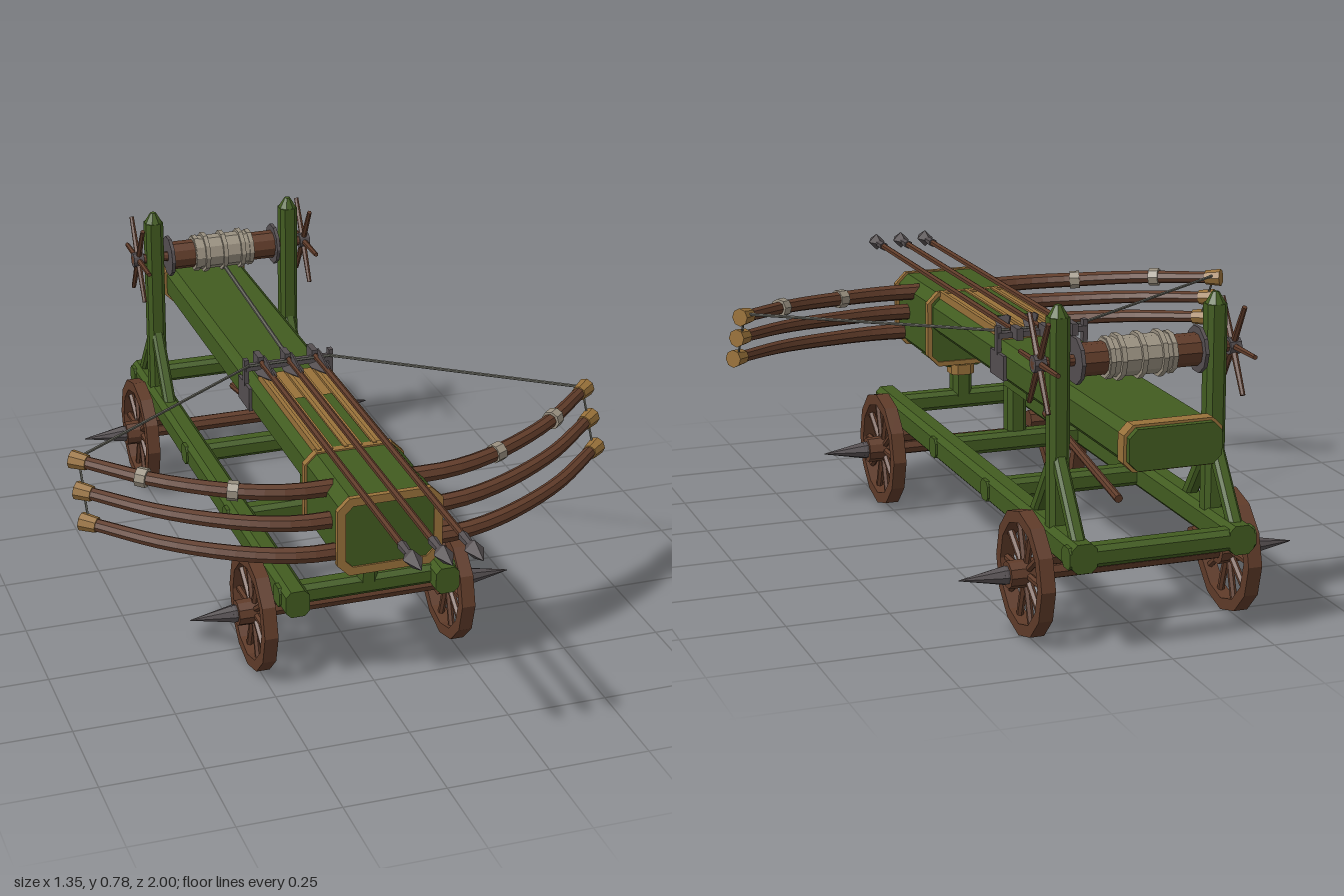
import * as THREE from 'three';

const V = (x, y, z) => new THREE.Vector3(x, y, z);
const mat = (name, color) => {
  const m = new THREE.MeshStandardMaterial({ color, flatShading: true });
  m.name = name;
  return m;
};

export function createModel() {
  const green = mat('greenPaint', 0x425c20), brown = mat('brownWood', 0x5f3b29);
  const tan = mat('ochreTrim', 0x98713a), iron = mat('darkIron', 0x544e50);
  const rope = mat('paleRope', 0x999080), cord = mat('cord', 0x65655c);
  const root = new THREE.Group();
  root.name = 'ballista';

  const add = (name, geo, m, x = 0, y = 0, z = 0, parent = root) => {
    const mesh = new THREE.Mesh(geo, m);
    mesh.name = name;
    mesh.position.set(x, y, z);
    parent.add(mesh);
    return mesh;
  };
  const box = (name, m, w, h, d, x, y, z, parent) => add(name, new THREE.BoxGeometry(w, h, d), m, x, y, z, parent);
  // Round bar between two points, r0 at a and r1 at b
  const rod = (name, m, a, b, r0, r1 = r0, n = 8, parent = root) => {
    const d = b.clone().sub(a);
    const mesh = add(name, new THREE.CylinderGeometry(r1, r0, d.length(), n), m, 0, 0, 0, parent);
    mesh.position.copy(a).addScaledVector(d, 0.5);
    mesh.quaternion.setFromUnitVectors(V(0, 1, 0), d.normalize());
    return mesh;
  };
  const octagon = (w, h, c, Type = THREE.Shape) => {
    const x = w / 2, y = h / 2;
    return new Type([[x - c, -y], [x, c - y], [x, y - c], [x - c, y], [c - x, y], [-x, y - c], [-x, c - y], [c - x, -y]]
      .map(p => new THREE.Vector2(...p)));
  };
  const extrude = (shape, depth) => new THREE.ExtrudeGeometry(shape, { depth, bevelEnabled: false }).translate(0, 0, -depth / 2);
  // Timber with chamfered edges between two points
  const timber = (name, m, a, b, w, h = w, c = w * 0.22) => {
    const mesh = add(name, extrude(octagon(w, h, c), a.distanceTo(b)), m);
    mesh.position.copy(a).add(b).multiplyScalar(0.5);
    mesh.lookAt(b);
    return mesh;
  };
  const band = (name, m, w, h, c, t, depth, x, y, z) => {
    const s = octagon(w, h, c);
    s.holes.push(octagon(w - 2 * t, h - 2 * t, c * 0.6, THREE.Path));
    return add(name, extrude(s, depth), m, x, y, z);
  };

  // Undercarriage
  for (const s of [-1, 1]) timber('sideRail', green, V(s * 0.19, 0.24, -0.945), V(s * 0.19, 0.24, 0.49), 0.06, 0.068);
  for (const z of [0.43, 0, -0.386, -0.92])
    timber('crossBeam', green, V(-0.225, 0.24, z), V(0.225, 0.24, z), 0.05);

  // Wheels and axles
  const ringShape = (r, Type) => new Type(Array.from({ length: 12 }, (_, i) =>
    new THREE.Vector2(r * Math.cos(i * Math.PI / 6), r * Math.sin(i * Math.PI / 6))));
  const rimShape = ringShape(0.148, THREE.Shape);
  rimShape.holes.push(ringShape(0.12, THREE.Path));
  const rimGeo = extrude(rimShape, 0.034).rotateY(Math.PI / 2);
  for (const z of [0.33, -0.74]) {
    rod('axle', brown, V(-0.25, 0.15, z), V(0.25, 0.15, z), 0.021);
    for (const s of [-1, 1]) {
      rod('axleBlock', brown, V(s * 0.157, 0.188, z), V(s * 0.223, 0.188, z), 0.026);
      const wheel = new THREE.Group();
      wheel.name = 'wheel';
      wheel.position.set(s * 0.252, 0.15, z);
      root.add(wheel);
      add('rim', rimGeo, brown, 0, 0, 0, wheel);
      for (let i = 0; i < 10; i++) {
        const a = i * Math.PI / 5, y = Math.sin(a), k = Math.cos(a);
        rod('spoke', brown, V(0, y * 0.02, k * 0.02), V(0, y * 0.126, k * 0.126), 0.0085, 0.0085, 6, wheel);
      }
      rod('hub', brown, V(-s * 0.03, 0, 0), V(s * 0.044, 0, 0), 0.034, 0.032, 10, wheel);
      rod('hubCollar', iron, V(s * 0.044, 0, 0), V(s * 0.056, 0, 0), 0.022, 0.022, 8, wheel);
      rod('hubSpike', iron, V(s * 0.05, 0, 0), V(s * 0.16, 0, 0), 0.023, 0.001, 8, wheel);
    }
  }

  // Posts carrying the stock
  timber('frontPost', green, V(0, 0.25, 0.43), V(0, 0.34, 0.43), 0.052);
  timber('frontPostCollar', tan, V(0, 0.31, 0.43), V(0, 0.337, 0.43), 0.064);
  const wedge = add('headWedge', new THREE.CylinderGeometry(0.141, 0.06, 0.035, 4).rotateY(Math.PI / 4), green, 0, 0.348, 0.43);
  wedge.scale.z = 0.35;
  timber('middlePost', green, V(0, 0.25, 0.01), V(0, 0.46, 0.01), 0.05);
  timber('middlePostCollar', tan, V(0, 0.396, 0.01), V(0, 0.42, 0.01), 0.062);

  // Stock and bow head
  timber('stock', green, V(0, 0.493, -1), V(0, 0.493, 0.35), 0.22, 0.095, 0.02);
  band('rearBand', tan, 0.234, 0.107, 0.022, 0.012, 0.034, 0, 0.493, -0.967);
  add('bowHead', extrude(octagon(0.24, 0.19, 0.025), 0.265), green, 0, 0.46, 0.4625);
  band('frontTrim', tan, 0.26, 0.2, 0.03, 0.021, 0.014, 0, 0.459, 0.593);
  band('headBand', tan, 0.252, 0.2, 0.03, 0.012, 0.02, 0, 0.459, 0.335);

  // Bolt troughs on top of the stock
  box('troughBed', tan, 0.18, 0.014, 0.48, 0, 0.547, 0.095);
  for (const x of [-0.036, 0.036]) box('troughDivider', green, 0.024, 0.012, 0.3, x, 0.552, 0.18);
  for (const x of [-0.086, -0.055, -0.018, 0.018, 0.055, 0.086]) box('troughRail', tan, 0.01, 0.02, 0.48, x, 0.551, 0.095);

  // Bolts
  for (const x of [-0.072, 0, 0.072]) {
    const bolt = new THREE.Group();
    bolt.name = 'bolt';
    bolt.position.set(x, 0.572, 0);
    root.add(bolt);
    rod('shaft', brown, V(0, 0, -0.17), V(0, 0, 0.9), 0.0085, 0.0085, 6, bolt);
    rod('socket', iron, V(0, 0, 0.87), V(0, 0, 0.92), 0.012, 0.009, 6, bolt);
    rod('headBase', iron, V(0, 0, 0.91), V(0, 0, 0.94), 0.008, 0.023, 4, bolt);
    rod('headPoint', iron, V(0, 0, 0.94), V(0, 0, 0.995), 0.023, 0.001, 4, bolt);
    // Three swept vanes
    const vane = new THREE.Shape([[0, -0.04], [0.028, -0.13], [0.028, -0.155], [0, -0.14]].map(p => new THREE.Vector2(...p)));
    for (let i = 0; i < 3; i++) {
      const f = add('vane', extrude(vane, 0.004).rotateX(Math.PI / 2), iron, 0, 0, 0, bolt);
      f.rotation.z = Math.PI / 2 + i * Math.PI * 2 / 3;
    }
  }

  // Three stacked bow arms on each side
  for (const s of [-1, 1]) {
    const tips = [];
    for (let k = 0; k < 3; k++) {
      const y = 0.53 - k * 0.063, z = k * 0.04;
      const path = new THREE.CatmullRomCurve3([[0.08, 0, 0.475], [0.2, 0.002, 0.472], [0.32, 0.007, 0.438],
        [0.49, 0.02, 0.35], [0.645, 0.034, 0.22]].map(p => V(s * p[0], y + p[1], p[2] + z)));
      const geo = new THREE.TubeGeometry(path, 14, 0.022, 8);
      const pos = geo.attributes.position, p = V(), c = V();
      for (let i = 0; i < pos.count; i++) { // taper towards the tip
        const t = Math.floor(i / 9) / 14;
        path.getPointAt(t, c);
        p.fromBufferAttribute(pos, i).sub(c).multiplyScalar(1 - 0.3 * t).add(c);
        pos.setXYZ(i, p.x, p.y, p.z);
      }
      add('bowArm', geo, brown);
      const end = path.getPointAt(1), dir = path.getTangentAt(1);
      rod('bowTip', tan, end.clone().addScaledVector(dir, -0.022), end.clone().addScaledVector(dir, 0.02), 0.019, 0.023);
      tips.push(end);
      if (k === 0) for (const t of [0.4, 0.74]) {
        const q = path.getPointAt(t), d = path.getTangentAt(t).multiplyScalar(0.013);
        rod('bowBinding', rope, q.clone().sub(d), q.clone().add(d), 0.024);
      }
    }
    rod('tipCord', cord, tips[0], tips[1], 0.003, 0.003, 5);
    rod('tipCord', cord, tips[1], tips[2], 0.003, 0.003, 5);
    rod('bowstring', cord, V(s * 0.65, 0.571, 0.22), V(s * 0.11, 0.571, -0.165), 0.004, 0.004, 6);
    box('triggerPlate', iron, 0.01, 0.062, 0.095, s * 0.113, 0.49, -0.182);
    box('triggerUpright', iron, 0.012, 0.07, 0.018, s * 0.113, 0.55, -0.178);
  }
  rod('bowstringMiddle', cord, V(-0.11, 0.571, -0.165), V(0.11, 0.571, -0.165), 0.004, 0.004, 6);

  // Trigger catch and lever
  box('catchBar', iron, 0.23, 0.014, 0.022, 0, 0.562, -0.178);
  for (const x of [-0.072, 0, 0.072]) box('catchClaw', iron, 0.016, 0.03, 0.045, x, 0.57, -0.2);
  box('triggerBase', green, 0.14, 0.034, 0.16, 0, 0.43, -0.18);
  rod('triggerArm', iron, V(0, 0.43, -0.215), V(0, 0.355, -0.22), 0.009);
  rod('triggerLever', brown, V(0, 0.363, -0.21), V(0, 0.28, -0.68), 0.0105);

  // Winch frame with braces
  const wz = -0.777, wy = 0.647;
  for (const s of [-1, 1]) {
    const x = s * 0.19;
    timber('winchPost', green, V(x, 0.25, wz), V(x, 0.75, wz), 0.048);
    add('postPoint', new THREE.CylinderGeometry(0.008, 0.025, 0.028, 8).rotateY(Math.PI / 8), green, x, 0.763, wz);
    for (const z of [-0.65, -0.905]) timber('winchBrace', green, V(x, 0.262, z), V(x, 0.44, wz), 0.032);
  }

  // Winch drum, rope and handles
  const along = (name, m, x0, x1, r, n = 10) => rod(name, m, V(x0, wy, wz), V(x1, wy, wz), r, r, n);
  along('winchAxle', brown, -0.25, 0.25, 0.013);
  along('winchDrum', brown, -0.15, 0.15, 0.038);
  along('ropeWrap', rope, -0.082, 0.082, 0.046);
  for (const x of [-0.075, -0.05, 0, 0.05, 0.075])
    along('ropeCoil', rope, x - 0.006, x + 0.006, Math.abs(x) > 0.07 ? 0.049 : 0.054);
  for (const s of [-1, 1]) {
    along('drumFlange', iron, s * 0.144, s * 0.153, 0.055);
    along('handleHub', iron, s * 0.222, s * 0.25, 0.02);
    for (let i = 0; i < 6; i++) {
      const a = i * Math.PI / 3, y = Math.sin(a), k = Math.cos(a), x = s * 0.235;
      rod('handleSpoke', brown, V(x, wy + y * 0.01, wz + k * 0.01), V(x, wy + y * 0.118, wz + k * 0.118), 0.008, 0.006, 6);
    }
  }
  rod('winchRope', cord, V(0, 0.578, -0.2), V(0, 0.61, -0.74), 0.0055, 0.0055, 6);
  return root;
}
